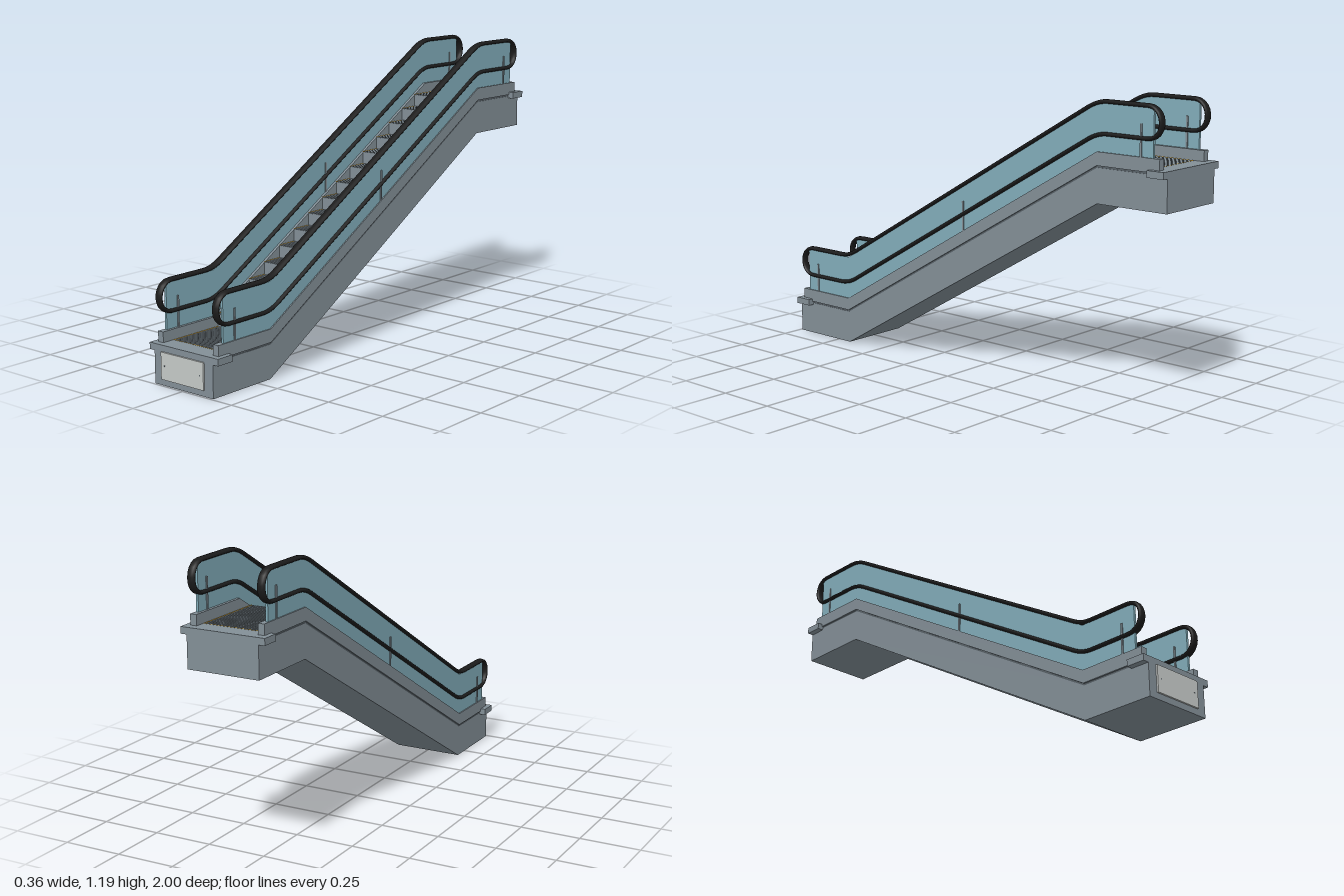
import * as THREE from 'three';
import { mergeGeometries } from 'three/addons/utils/BufferGeometryUtils.js';

const RISE = 0.7875;   // height between the two landings
const BEND = 0.68;     // z of the lower bend, mirrored at the top
const STEPS = 15;

const mat = (name, color) => {
  const m = new THREE.MeshStandardMaterial({ color });
  m.name = name;
  return m;
};

export function createModel() {
  const metal = mat('metal', 0x838f97);
  const glass = mat('glass', 0x82adba);
  const rubber = mat('rubber', 0x1b1b1b);
  const pale = mat('palePanel', 0xc6cac8);
  const yellow = mat('yellowEdge', 0xc99a2e);
  const dark = mat('darkGroove', 0x596268);

  const model = new THREE.Group();
  model.name = 'escalator';

  const add = (name, geometry, material) => {
    const mesh = new THREE.Mesh(geometry, material);
    mesh.name = name;
    model.add(mesh);
    return mesh;
  };
  const boxGeo = (w, h, d, x, y, z) => new THREE.BoxGeometry(w, h, d).translate(x, y, z);

  // Extrudes a (z, y) side profile across a width centred on x
  const sideExtrude = (points, width, x = 0) => {
    const shape = new THREE.Shape(points.map(([z, y]) => new THREE.Vector2(z, y)));
    return new THREE.ExtrudeGeometry(shape, { depth: width, bevelEnabled: false })
      .translate(0, 0, -width / 2).rotateY(-Math.PI / 2).translate(x, 0, 0);
  };
  // Line that follows the incline: flat, sloping, flat
  const path = (y, front, back) => [[front, y], [BEND, y], [-BEND, y + RISE], [back, y + RISE]];
  const band = (low, high, front, back = -front) =>
    [...path(low, front, back), ...path(high, front, back).reverse()];

  // Truss casing
  add('truss', sideExtrude(band(0, 0.138, 0.992, -1), 0.304), metal);

  // Stepped body carrying the treads
  const floor = 0.157, stepRise = RISE / STEPS, run = 0.0907, firstRiser = 0.67, rib = 0.003;
  const profile = [[0.915, 0.12], [0.915, floor - rib]];
  const treads = [];
  let z = 0.915;
  for (let i = 0; i <= STEPS; i++) {
    const y = floor + i * stepRise;
    const back = i === STEPS ? -0.925 : firstRiser - i * run;
    treads.push({ y, front: z, back });
    profile.push([back, y - rib]);
    if (i < STEPS) profile.push([back, y + stepRise - rib]);
    z = back;
  }
  profile.push([-0.925, 0.12 + RISE], [-BEND, 0.12 + RISE], [BEND, 0.12]);
  add('stepBody', sideExtrude(profile, 0.26), metal);

  // Tread ribs and yellow side edges
  const ribs = [], edges = [];
  const ribCount = 26, pitch = 0.252 / ribCount;
  for (const { y, front, back } of treads) {
    const mid = (front + back) / 2, len = front - back;
    for (let k = 0; k < ribCount; k++) {
      ribs.push(boxGeo(pitch * 0.6, rib, len, (k - (ribCount - 1) / 2) * pitch, y - rib / 2, mid));
    }
    for (const s of [-1, 1]) edges.push(boxGeo(0.003, rib, len, s * 0.1285, y - rib / 2 + 0.0003, mid));
  }
  add('treadRibs', mergeGeometries(ribs), metal);
  add('treadEdges', mergeGeometries(edges), yellow);

  // Landing plates and comb lines at both ends
  for (const [label, zMid, depth, top] of [
    ['lower', 0.953, 0.078, floor], ['upper', -0.9625, 0.075, floor + RISE],
  ]) {
    add(label + 'LandingPlate', boxGeo(0.356, 0.027, depth, 0, top - 0.0135, zMid), metal);
    const inner = zMid - Math.sign(zMid) * (depth / 2 + 0.002);
    add(label + 'CombLine', boxGeo(0.25, 0.003, 0.003, 0, top - 0.001, inner), yellow);
  }

  // Handrail loop, swept in the side plane and widened across x
  const v = (y, zz) => new THREE.Vector3(0, y, zz);
  const railLoop = () => {
    const top = 0.3895, low = 0.268, end = 0.907, c = 0.045, slope = RISE / (2 * BEND);
    const reach = (top - low) * 2 / 3;
    const curve = new THREE.CurvePath();
    const line = (a, b) => curve.add(new THREE.LineCurve3(a, b));
    const strand = (y) => [
      v(y, end), v(y, BEND + c), v(y, BEND), v(y + c * slope, BEND - c),
      v(y + RISE - c * slope, c - BEND), v(y + RISE, -BEND), v(y + RISE, -BEND - c), v(y + RISE, -end),
    ];
    const run8 = (p) => {
      line(p[0], p[1]);
      curve.add(new THREE.QuadraticBezierCurve3(p[1], p[2], p[3]));
      line(p[3], p[4]);
      curve.add(new THREE.QuadraticBezierCurve3(p[4], p[5], p[6]));
      line(p[6], p[7]);
    };
    const turn = (a, b, dz) => curve.add(new THREE.CubicBezierCurve3(
      a, v(a.y, a.z + dz), v(b.y, b.z + dz), b));
    const upper = strand(top), lower = strand(low).reverse();
    run8(upper);
    turn(upper[7], lower[0], -reach);
    run8(lower);
    turn(lower[7], upper[0], reach);
    return new THREE.TubeGeometry(curve, 260, 0.0085, 12, true).scale(2, 1, 1);
  };
  const rail = railLoop();

  // Balustrades, mirrored left and right
  for (const [side, s] of [['left', 1], ['right', -1]]) {
    add(side + 'Curb', sideExtrude(band(0.146, 0.199, 0.967), 0.027, s * 0.1435), metal);
    add(side + 'CurbGroove', sideExtrude(band(0.136, 0.148, 0.967), 0.02, s * 0.14), dark);
    add(side + 'Glass', sideExtrude(band(0.195, 0.383, 0.935), 0.01, s * 0.147), glass);
    add(side + 'Handrail', rail, rubber).position.x = s * 0.147;
    for (const [zz, base] of [[0.875, 0.195], [0, 0.195 + RISE / 2], [-0.88, 0.195 + RISE]]) {
      add(side + 'GlassClamp', boxGeo(0.018, 0.127, 0.008, s * 0.147, base + 0.0635, zz), metal);
    }
  }

  // Access panel with two screws on the lower end
  add('accessPanel', boxGeo(0.221, 0.107, 0.008, -0.002, 0.0785, 0.995), pale);
  for (const x of [-0.094, 0.09]) {
    add('panelScrew', new THREE.CylinderGeometry(0.003, 0.003, 0.002, 10)
      .rotateX(Math.PI / 2).translate(x, 0.08, 0.999), dark);
  }

  return model;
}
